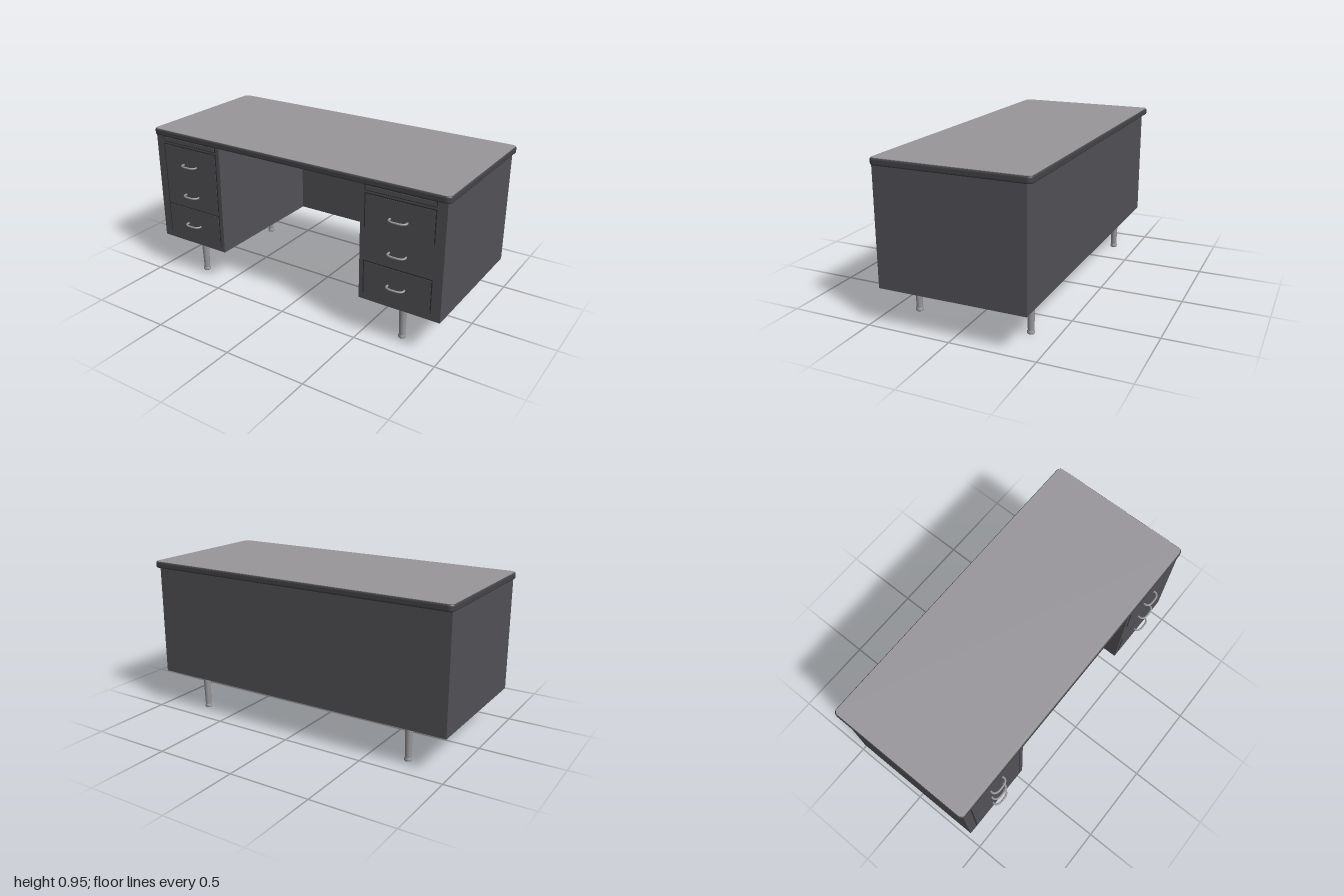
import * as THREE from 'three';

export function createModel() {
  const desk = new THREE.Group();
  desk.name = 'desk';

  const material = (name, color) => {
    const m = new THREE.MeshStandardMaterial({ color });
    m.name = name;
    return m;
  };
  const bodyGrey = material('bodyGrey', 0x525156);
  const topGrey = material('topGrey', 0x98969a);
  const edgeGrey = material('edgeGrey', 0x444347);
  const gapGrey = material('gapGrey', 0x2f2f32);
  const metal = material('metal', 0x98979a);

  const add = (parent, name, geometry, mat, x = 0, y = 0, z = 0) => {
    const mesh = new THREE.Mesh(geometry, mat);
    mesh.name = name;
    mesh.position.set(x, y, z);
    parent.add(mesh);
    return mesh;
  };
  const box = (parent, name, mat, x0, x1, y0, y1, z0, z1) =>
    add(parent, name, new THREE.BoxGeometry(x1 - x0, y1 - y0, z1 - z0), mat,
      (x0 + x1) / 2, (y0 + y1) / 2, (z0 + z1) / 2);

  // Rounded rectangle in plan; shape y becomes -z once laid flat
  const roundedPlan = (hx, hy, r) => {
    const s = new THREE.Shape();
    s.moveTo(hx - r, -hy);
    s.absarc(hx - r, -hy + r, r, -Math.PI / 2, 0);
    s.absarc(hx - r, hy - r, r, 0, Math.PI / 2);
    s.absarc(-hx + r, hy - r, r, Math.PI / 2, Math.PI);
    s.absarc(-hx + r, -hy + r, r, Math.PI, Math.PI * 1.5);
    s.closePath();
    return s;
  };

  // Body: two pedestals joined by a back panel, as one U-shaped plan
  const plan = new THREE.Shape([
    [-0.983, -0.43], [-0.486, -0.43], [-0.486, 0.42], [0.486, 0.42],
    [0.486, -0.43], [0.983, -0.43], [0.983, 0.44], [-0.983, 0.44],
  ].map(([x, y]) => new THREE.Vector2(x, y)));
  const bodyGeometry = new THREE.ExtrudeGeometry(plan, { depth: 0.687, bevelEnabled: false });
  bodyGeometry.rotateX(-Math.PI / 2);
  add(desk, 'body', bodyGeometry, bodyGrey, 0, 0.225, 0);

  // Desktop: rounded edge band with a pale work surface
  const bevel = 0.01;
  const slab = new THREE.ExtrudeGeometry(roundedPlan(1 - bevel, 0.457 - bevel, 0.02), {
    depth: 0.04 - 2 * bevel, bevelThickness: bevel, bevelSize: bevel,
    bevelSegments: 4, curveSegments: 8,
  });
  slab.rotateX(-Math.PI / 2);
  add(desk, 'desktopEdge', slab, edgeGrey, 0, 0.909 + bevel, -0.017);
  const surface = new THREE.ExtrudeGeometry(roundedPlan(0.994, 0.451, 0.025), {
    depth: 0.003, bevelEnabled: false, curveSegments: 8,
  });
  surface.rotateX(-Math.PI / 2);
  add(desk, 'workSurface', surface, topGrey, 0, 0.9475, -0.017);

  // Hoop handle, bowed towards the front
  const handleGeometry = new THREE.TubeGeometry(new THREE.CatmullRomCurve3([
    [-0.05, 0.428], [-0.05, 0.452], [-0.032, 0.466], [0, 0.469],
    [0.032, 0.466], [0.05, 0.452], [0.05, 0.428],
  ].map(([x, z]) => new THREE.Vector3(x, 0, z))), 32, 0.006, 8);

  // Tapered leg with a small foot
  const legGeometry = new THREE.LatheGeometry([
    [0, 0], [0.019, 0], [0.022, 0.004], [0.022, 0.014], [0.018, 0.018],
    [0.018, 0.024], [0.024, 0.222],
  ].map(([x, y]) => new THREE.Vector2(x, y)), 20);

  // Raised drawer fronts per side; the middle right front is flush
  const fronts = {
    left: [[0.668, 0.865], [0.265, 0.468]],
    right: [[0.468, 0.865], [0.265, 0.468]],
  };

  for (const [side, s] of [['left', 1], ['right', -1]]) {
    const pedestal = new THREE.Group();
    pedestal.name = side + 'Pedestal';
    desk.add(pedestal);
    const cx = s * 0.719;
    const x0 = cx - 0.208, x1 = cx + 0.208;
    const gap = 0.007;

    // Pull-out board under the top
    box(pedestal, 'boardGap', gapGrey, x0, x1, 0.876, 0.91, 0.428, 0.4315);
    box(pedestal, 'pullOutBoard', bodyGrey, x0 + gap, x1 - gap, 0.882, 0.906, 0.428, 0.436);

    // Drawer fronts, each over a thin dark gap plate
    for (const [y0, y1] of fronts[side]) {
      box(pedestal, 'drawerGap', gapGrey, x0, x1, y0, y1, 0.428, 0.4312);
      box(pedestal, 'drawerFront', bodyGrey, x0 + gap, x1 - gap, y0, y1 - gap, 0.428, 0.4335);
    }

    for (const y of [0.752, 0.554, 0.357]) {
      add(pedestal, 'handle', handleGeometry, metal, cx, y, 0);
    }

    // Legs on square mounting plates
    for (const z of [0.345, -0.35]) {
      const lx = s * 0.725;
      add(pedestal, 'leg', legGeometry, metal, lx, 0, z);
      box(pedestal, 'legPlate', metal, lx - 0.048, lx + 0.048, 0.219, 0.226, z - 0.048, z + 0.048);
    }
  }
  return desk;
}
